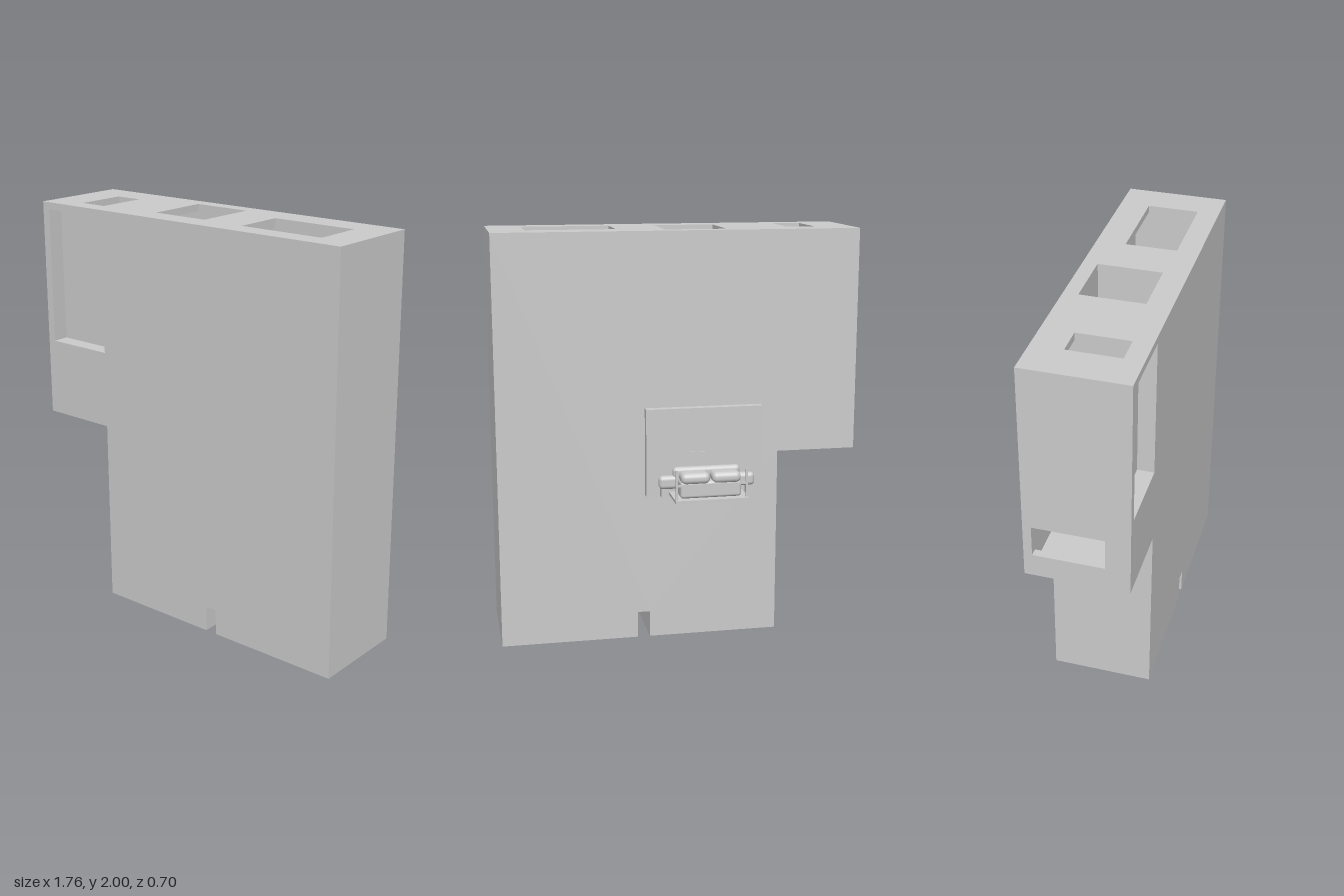
import * as THREE from 'three';
import { RoundedBoxGeometry } from 'three/addons/geometries/RoundedBoxGeometry.js';

const Z0 = -0.14, Z1 = 0.35; // back and front faces of the block

export function createModel() {
  const group = new THREE.Group();
  const mat = new THREE.MeshStandardMaterial({ color: 0xcccccc, side: THREE.DoubleSide });

  const add = (name, geo) => {
    const mesh = new THREE.Mesh(geo, mat);
    mesh.name = name;
    group.add(mesh);
    return mesh;
  };
  const rect = (Type, [a0, a1, b0, b1]) => new Type([[a0, b0], [a1, b0], [a1, b1], [a0, b1]].map(p => new THREE.Vector2(...p)));
  const extrude = (shape, depth) => new THREE.ExtrudeGeometry(shape, { depth, bevelEnabled: false });
  const box = (name, x0, x1, y0, y1, z0, z1) =>
    add(name, new THREE.BoxGeometry(x1 - x0, y1 - y0, z1 - z0)
      .translate((x0 + x1) / 2, (y0 + y1) / 2, (z0 + z1) / 2));
  const soft = (name, x0, x1, y0, y1, z0, z1, r) =>
    add(name, new RoundedBoxGeometry(x1 - x0, y1 - y0, z1 - z0, 4, r)
      .translate((x0 + x1) / 2, (y0 + y1) / 2, (z0 + z1) / 2));

  // Level panel from y0 to y1, holes given as [x0, x1, z0, z1]
  const levelPanel = (name, x0, x1, y0, y1, holes = []) => {
    const shape = rect(THREE.Shape, [x0, x1, -Z1, -Z0]);
    for (const [a, b, c, d] of holes) shape.holes.push(rect(THREE.Path, [a, b, -d, -c]));
    add(name, extrude(shape, y1 - y0).rotateX(-Math.PI / 2).translate(0, y0, 0));
  };
  // Upright side panel from x0 to x1, holes given as [z0, z1, y0, y1]
  const sidePanel = (name, x0, x1, y0, y1, holes = []) => {
    const shape = rect(THREE.Shape, [-Z1, -Z0, y0, y1]);
    for (const [a, b, c, d] of holes) shape.holes.push(rect(THREE.Path, [-b, -a, c, d]));
    add(name, extrude(shape, x1 - x0).rotateY(Math.PI / 2).translate(x0, 0, 0));
  };

  // Stepped outline with the small slot at the bottom, used front and back
  const outline = () => new THREE.Shape([
    [-0.88, 0.92], [-0.49, 0.92], [-0.49, 0], [0.15, 0], [0.15, 0.13], [0.21, 0.13],
    [0.21, 0], [0.88, 0], [0.88, 2], [-0.88, 2],
  ].map(p => new THREE.Vector2(...p)));

  add('backPanel', extrude(outline(), 0.04).translate(0, 0, Z0));
  const front = outline();
  front.holes.push(rect(THREE.Path, [-0.84, -0.49, 1.3, 1.965]));
  add('frontPanel', extrude(front, 0.08).translate(0, 0, 0.27));
  box('recessPanel', -0.86, -0.47, 1.28, 1.98, 0.262, 0.27);

  // Outer walls with their windows
  levelPanel('topWall', -0.88, 0.88, 1.965, 2, [
    [-0.695, -0.555, 0.01, 0.26],
    [-0.24, 0.055, -0.07, 0.235],
    [0.28, 0.71, 0, 0.245],
  ]);
  sidePanel('leftWall', 0.84, 0.88, 0, 2);
  sidePanel('rightUpperWall', -0.88, -0.84, 0.92, 2, [[-0.125, 0.235, 1.035, 1.19]]);
  sidePanel('rightLowerWall', -0.49, -0.45, 0, 0.96);
  levelPanel('stepWall', -0.88, -0.45, 0.92, 0.96);
  levelPanel('bottomWallLeft', 0.21, 0.88, 0, 0.04, [[0.25, 0.83, -0.09, 0.265]]);
  levelPanel('bottomWallRight', -0.49, 0.15, 0, 0.04, [[-0.39, 0.12, -0.09, 0.265]]);

  // Slot between the two lower bays
  sidePanel('slotWallRight', 0.12, 0.15, 0, 0.16);
  sidePanel('slotWallLeft', 0.21, 0.24, 0, 0.16);
  levelPanel('slotTop', 0.12, 0.24, 0.13, 0.16);

  // Inner partitions
  box('bayPartition', 0.16, 0.2, 0.16, 1.97, -0.1, 0.27);
  box('upperPartition', -0.49, -0.45, 0.96, 1.97, -0.1, 0.27);
  box('leftRoomPartition', 0.2, 0.84, 1.2, 1.24, -0.1, 0.27);
  levelPanel('middleRoomPartition', -0.45, 0.16, 1.2, 1.24, [[-0.26, 0.045, 0.055, 0.24]]);

  // Mounted board and bed on the back
  box('bedBoard', -0.4, 0.17, 0.73, 1.16, -0.18, Z0);
  box('boardStrip', -0.15, -0.05, 0.938, 0.946, -0.184, -0.18);
  box('bedPlate', -0.295, 0.06, 0.738, 0.752, -0.355, -0.18);
  soft('mattress', -0.265, 0.03, 0.752, 0.835, -0.325, -0.2, 0.015);
  soft('bolster', -0.355, 0.115, 0.775, 0.84, -0.23, -0.185, 0.02);
  for (const s of [-1, 1]) {
    const cx = -0.118 + s * 0.075;
    soft('pillow', cx - 0.07, cx + 0.07, 0.82, 0.875, -0.335, -0.24, 0.025);
    soft('backCushion', cx - 0.09, cx + 0.09, 0.82, 0.88, -0.228, -0.185, 0.02);
    const px = -0.118 + s * 0.17;
    box('bedPost', px - 0.005, px + 0.005, 0.74, 0.895, -0.338, -0.33);
    const lx = -0.118 + s * 0.21;
    box('sideLeg', lx - 0.012, lx + 0.012, 0.735, 0.78, -0.22, -0.185);
  }
  box('bedRail', -0.288, 0.052, 0.815, 0.825, -0.338, -0.33);

  return group;
}
